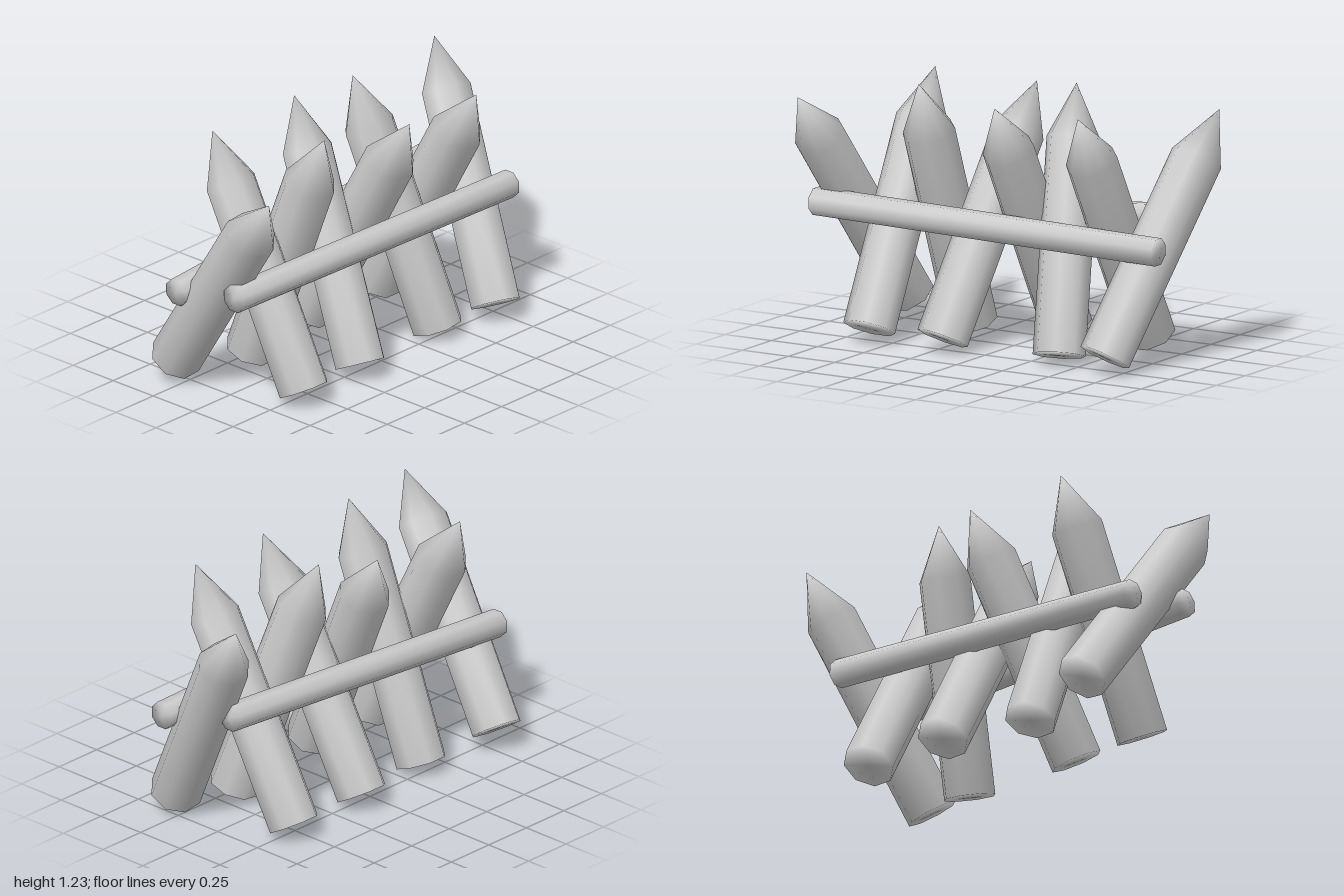
import * as THREE from 'three';
import { mergeVertices } from 'three/addons/utils/BufferGeometryUtils.js';

const material = new THREE.MeshStandardMaterial({ color: 0xcccccc });
const UP = new THREE.Vector3(0, 1, 0);

// Eight-sided log from one point to another, softly shaded; pointLength > 0 sharpens its far end
function log(name, from, to, radius, pointLength) {
  const start = new THREE.Vector3(...from);
  const direction = new THREE.Vector3(...to).sub(start);
  const length = direction.length();
  const profile = [[0, 0], [radius, 0], [radius, length - pointLength], [0, length]]
    .map(([x, y]) => new THREE.Vector2(x, y));
  let geometry = new THREE.LatheGeometry(profile, 8, Math.PI / 8);
  geometry.deleteAttribute('normal');
  geometry.deleteAttribute('uv');
  geometry = mergeVertices(geometry, 1e-4);
  geometry.computeVertexNormals();

  const mesh = new THREE.Mesh(geometry, material);
  mesh.name = name;
  mesh.position.copy(start);
  mesh.quaternion.setFromUnitVectors(UP, direction.normalize());
  return mesh;
}

export function createModel() {
  const group = new THREE.Group();
  group.name = 'stakeBarricade';

  // Crossed stakes: centre of the butt, then the tip
  const stakes = [
    [[-0.77, 0.11, -0.32], [-0.92, 1.14, 0.40]],
    [[-0.59, 0.08, 0.31], [-0.59, 1.205, -0.26]],
    [[-0.37, 0.05, -0.22], [-0.37, 1.235, 0.235]],
    [[-0.20, 0.075, 0.30], [-0.04, 1.20, -0.26]],
    [[0.10, 0.075, -0.29], [0.10, 1.19, 0.33]],
    [[0.39, 0.05, 0.235], [0.24, 1.24, -0.155]],
    [[0.55, 0.075, -0.29], [0.55, 1.19, 0.33]],
    [[0.69, 0.09, 0.32], [0.93, 1.17, -0.285]],
  ];
  stakes.forEach(([butt, tip], i) => group.add(log(`stake${i + 1}`, butt, tip, 0.123, 0.25)));

  // Rails lashed along both sides
  group.add(log('frontRail', [-0.945, 0.618, 0.205], [0.907, 0.585, 0.205], 0.067, 0));
  group.add(log('backRail', [-0.94, 0.535, -0.163], [0.84, 0.672, -0.163], 0.067, 0));

  return group;
}
